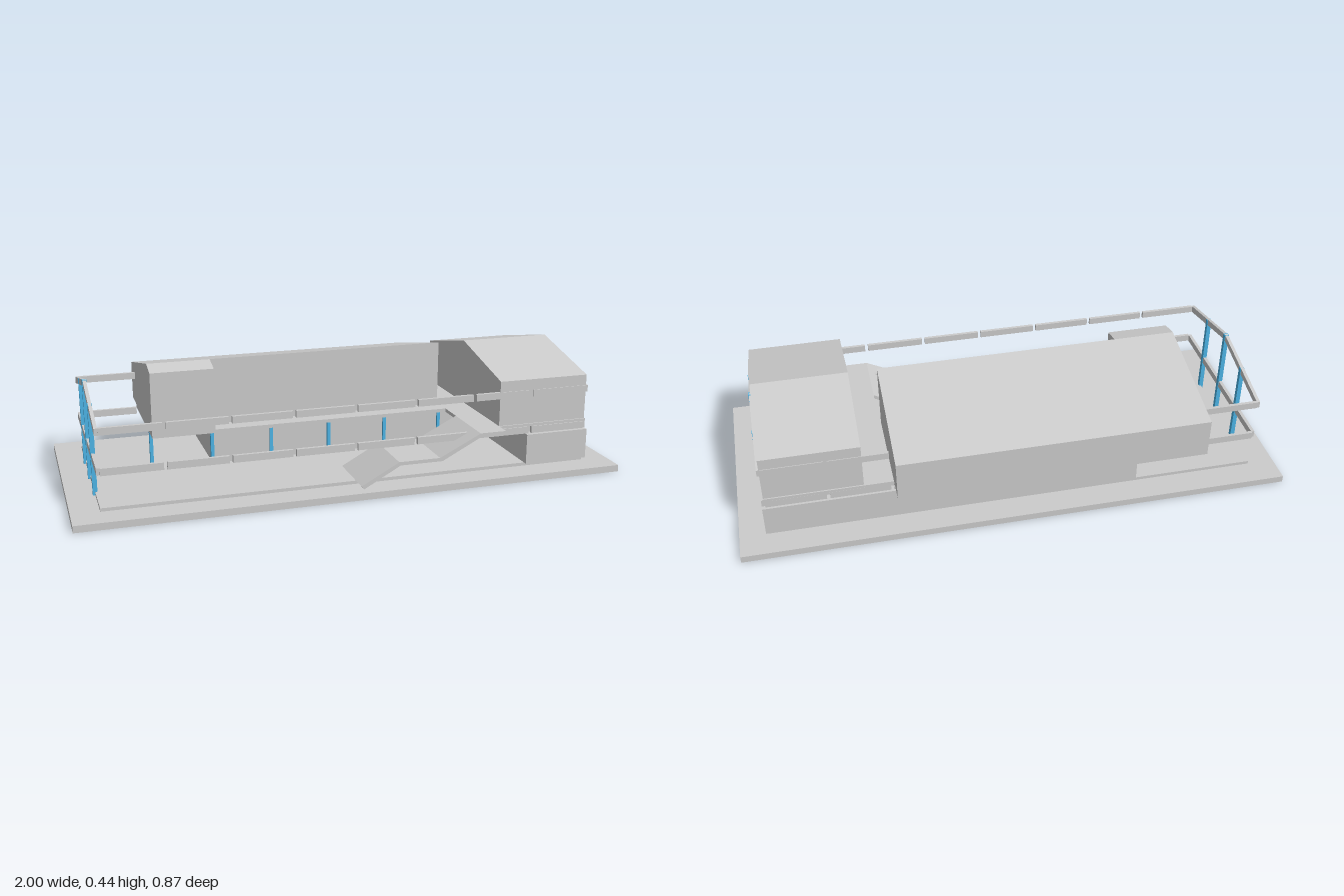
import * as THREE from 'three';

const grey = new THREE.MeshStandardMaterial({ color: 0xcccccc, flatShading: true });
const blue = new THREE.MeshStandardMaterial({ color: 0x4cb4e6, flatShading: true });

export function createModel() {
  const group = new THREE.Group();

  const add = (name, geometry, material = grey) => {
    const mesh = new THREE.Mesh(geometry, material);
    mesh.name = name;
    group.add(mesh);
  };
  const box = (name, [x0, x1], [y0, y1], [z0, z1], material) => {
    const g = new THREE.BoxGeometry(x1 - x0, y1 - y0, z1 - z0);
    g.translate((x0 + x1) / 2, (y0 + y1) / 2, (z0 + z1) / 2);
    add(name, g, material);
  };
  const extrude = (points, depth) => new THREE.ExtrudeGeometry(
    new THREE.Shape(points.map(p => new THREE.Vector2(...p))), { depth, bevelEnabled: false });
  // Extrude a (z, y) profile along x
  const alongX = (name, points, x0, x1) => {
    const g = extrude(points.map(([z, y]) => [-z, y]), x1 - x0);
    g.rotateY(Math.PI / 2).translate(x0, 0, 0);
    add(name, g);
  };

  // Ground and floors
  box('groundSlab', [-1, 1], [0, 0.025], [-0.437, 0.437]);
  box('groundFloor', [-0.9, 0.9], [0.025, 0.037], [-0.338, 0.338]);
  box('upperFloor', [-0.68, 0.45], [0.177, 0.19], [-0.345, 0.075]);
  box('stairLanding', [0.45, 0.55], [0.177, 0.19], [-0.345, 0.4]);
  box('wingFloor', [0.55, 0.9], [0.18, 0.19], [-0.345, 0.345]);

  // Lower storey
  box('lowerRooms', [-0.45, 0.66], [0.037, 0.177], [-0.32, 0]);
  box('lowerBackWall', [-0.45, 0.66], [0.037, 0.15], [-0.35, -0.32]);
  box('lowerWing', [0.66, 0.906], [0.037, 0.15], [-0.35, 0.353]);
  box('wingMiddleBand', [0.67, 0.896], [0.15, 0.18], [-0.32, 0.32]);

  // Upper storey with pitched roofs
  alongX('wing', [[0.34, 0.19], [0.34, 0.358], [0, 0.435], [-0.34, 0.358], [-0.34, 0.19]], 0.55, 0.898);
  alongX('mainHall', [[0, 0.19], [0, 0.435], [-0.437, 0.335], [-0.437, 0.19]], -0.68, 0.445);
  alongX('hallFrontBay', [[0.075, 0.19], [0.075, 0.418], [0, 0.435], [0, 0.19]], -0.68, -0.45);

  // Ramped stair with a halfway landing
  const stair = extrude([[0, 0.037], [0.01, 0.025], [0.145, 0.1], [0.305, 0.1], [0.45, 0.175],
    [0.45, 0.19], [0.295, 0.113], [0.14, 0.113]], 0.225);
  add('stair', stair.translate(0, 0, 0.175));

  // Long rails, split at each bay
  const bays = [-0.9, -0.675, -0.45, -0.225, 0, 0.225, 0.45, 0.675, 0.9];
  for (let i = 0; i < bays.length - 1; i++) {
    const span = [bays[i] + 0.006, bays[i + 1] - 0.006];
    for (const side of [-1, 1]) {
      const z = [side * 0.337 - 0.006, side * 0.337 + 0.006];
      box('lowerRail', span, [0.152, 0.178], z);
      const behindHall = side < 0 && i >= 1 && i <= 5;
      if (!behindHall) box('upperRail', span, [0.293, 0.318], z);
    }
  }

  // End frames: sloping gable beam, cross rail and posts
  for (const side of [-1, 1]) {
    const x = side * 0.9;
    alongX('gableBeam', [[0.34, 0.292], [0.34, 0.317], [0, 0.395], [-0.34, 0.317],
      [-0.34, 0.292], [0, 0.372]], x - 0.006, x + 0.006);
    box('crossRail', [x - 0.006, x + 0.006], [0.152, 0.178], [-0.335, 0.335]);
    for (const z of [-0.17, 0, 0.17]) {
      box('endPost', [x - 0.008, x + 0.008], [0.025, z ? 0.354 : 0.394],
        [z - 0.008, z + 0.008], blue);
    }
  }

  // Inner posts under the hall
  for (const x of bays.slice(1, 7)) {
    box('innerPost', [x - 0.006, x + 0.006], [0.037, 0.177], [-0.008, 0.008], blue);
  }
  return group;
}
